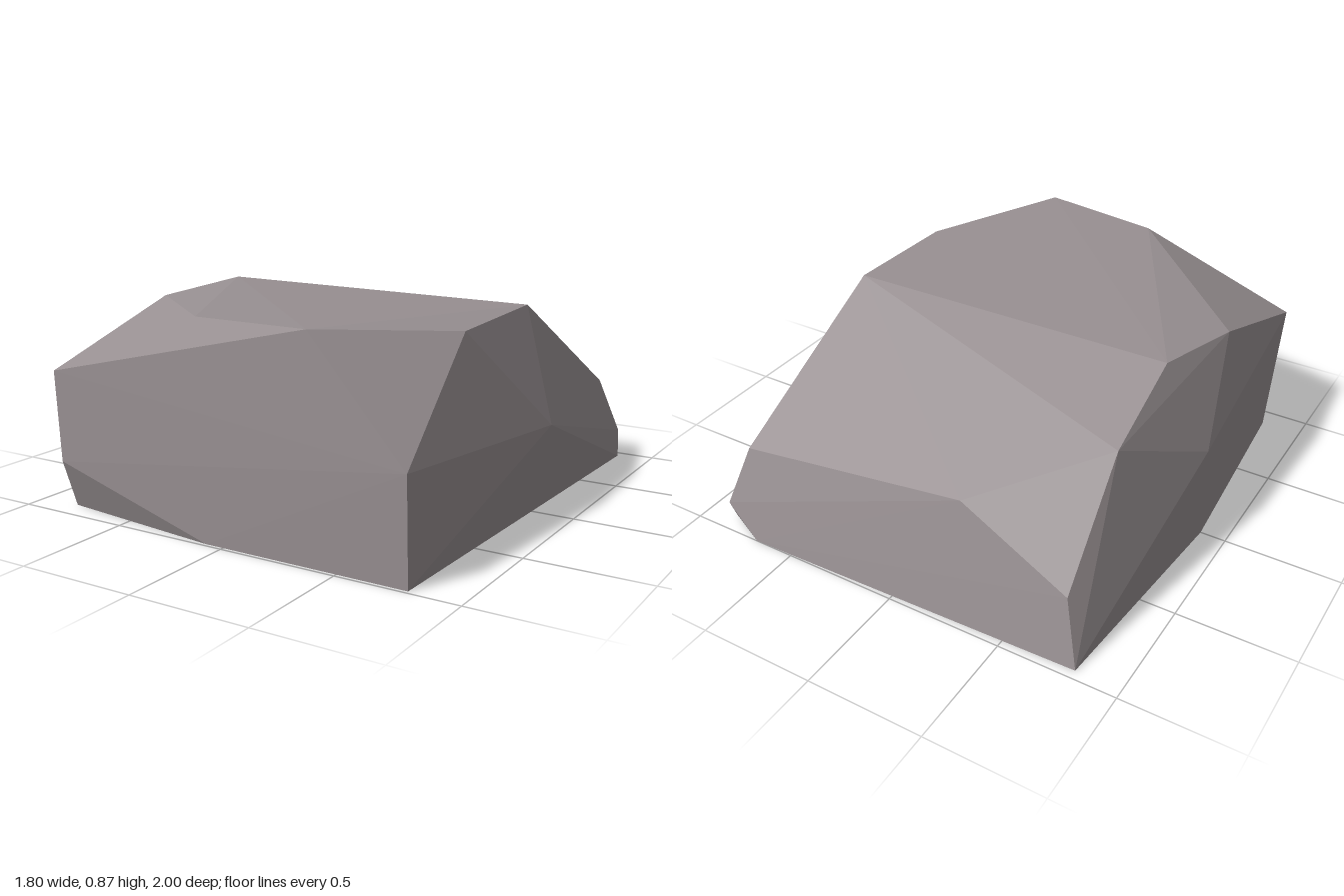
import * as THREE from 'three';
import { ConvexGeometry } from 'three/addons/geometries/ConvexGeometry.js';

// Corners of the boulder, grouped from the ground up
const base = [
  [0.79, 0, 0.985], [-0.08, 0, 0.985], [-0.82, 0, 0.9], [-0.89, 0, 0],
  [-0.81, 0, -0.96], [0.68, 0, -1], [0.86, 0.01, -0.92],
];
const waist = [
  [0.79, 0.42, 1], [0.9, 0.38, 0.02], [0.84, 0.12, -0.97], [0.77, 0.37, -0.88],
  [-0.25, 0.49, -0.85], [-0.735, 0.27, -0.895], [-0.9, 0.45, -0.04],
  [-0.84, 0.58, 0.97], [-0.81, 0.21, 0.98],
];
const crown = [
  [0.38, 0.865, 0.98], [-0.15, 0.853, 0.92], [-0.81, 0.8, 0.31], [-0.72, 0.84, -0.1],
  [-0.73, 0.69, -0.52], [0.73, 0.83, -0.1], [0.73, 0.81, 0.46],
];

export function createModel() {
  const group = new THREE.Group();
  group.name = 'rock';

  const stone = new THREE.MeshStandardMaterial({ color: 0x989092 });
  stone.name = 'warm grey stone';

  // Faceted convex boulder; every face carries its own flat normal
  const corners = [...base, ...waist, ...crown].map((p) => new THREE.Vector3(...p));
  const boulder = new THREE.Mesh(new ConvexGeometry(corners), stone);
  boulder.name = 'boulder';
  group.add(boulder);

  return group;
}
